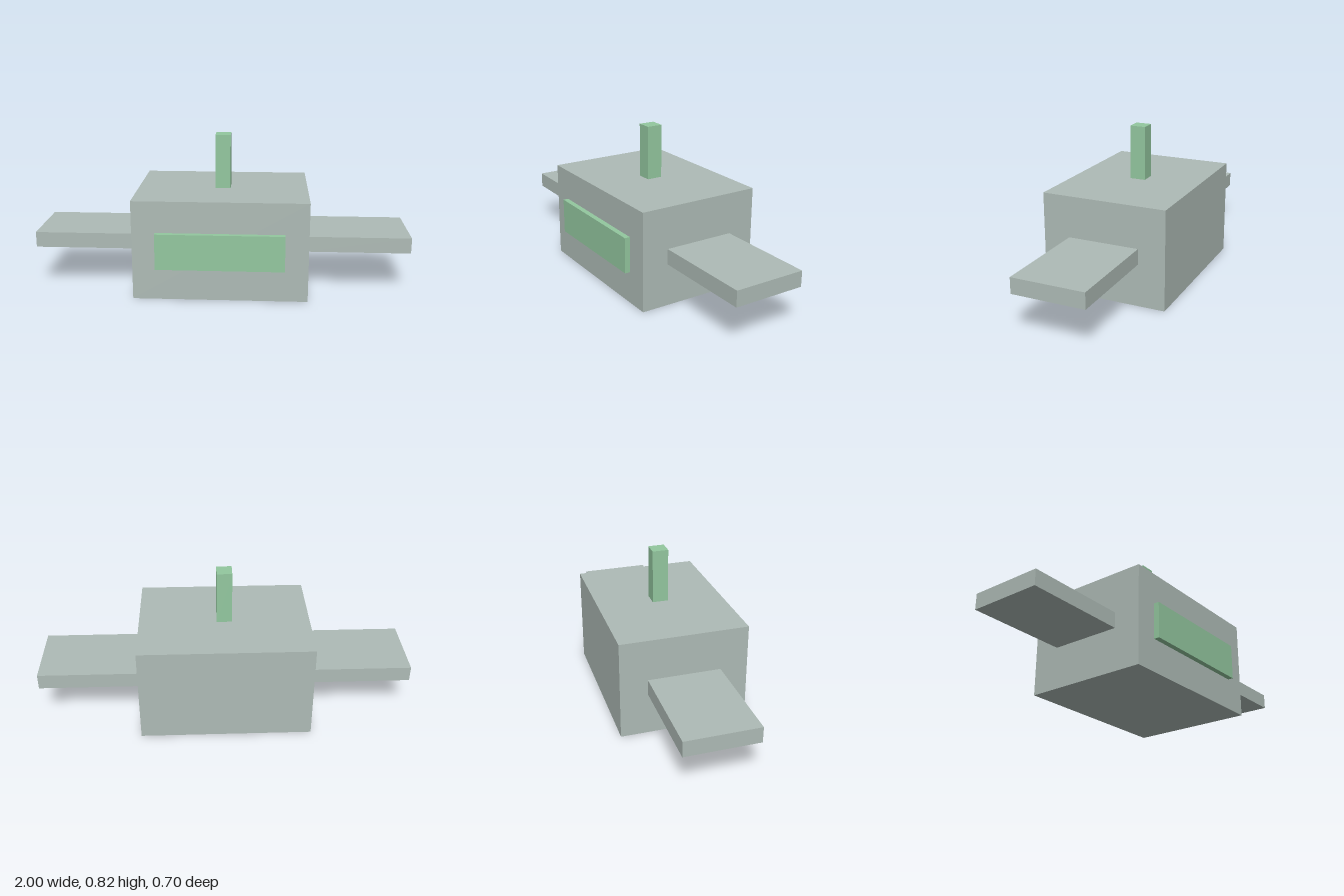
import * as THREE from 'three';

export function createModel() {
  const model = new THREE.Group();
  model.name = 'model';

  const grey = new THREE.MeshStandardMaterial({ color: 0xaebbb6 });
  grey.name = 'pale grey';
  const green = new THREE.MeshStandardMaterial({ color: 0x93c79f });
  green.name = 'soft green';

  // Box given by its extents on each axis
  function addBox(name, material, [x0, x1], [y0, y1], [z0, z1]) {
    const mesh = new THREE.Mesh(new THREE.BoxGeometry(x1 - x0, y1 - y0, z1 - z0), material);
    mesh.position.set((x0 + x1) / 2, (y0 + y1) / 2, (z0 + z1) / 2);
    mesh.name = name;
    model.add(mesh);
  }

  // Main block
  addBox('body', grey, [-0.457, 0.457], [0, 0.53], [-0.352, 0.323]);

  // Flat side arms
  addBox('leftArm', grey, [0.457, 1], [0.226, 0.309], [-0.207, 0.178]);
  addBox('rightArm', grey, [-1, -0.457], [0.226, 0.309], [-0.207, 0.178]);

  // Raised front panel and post on top
  addBox('frontPanel', green, [-0.335, 0.335], [0.172, 0.363], [0.323, 0.352]);
  addBox('antenna', green, [-0.041, 0.041], [0.53, 0.82], [-0.057, 0.028]);

  return model;
}
